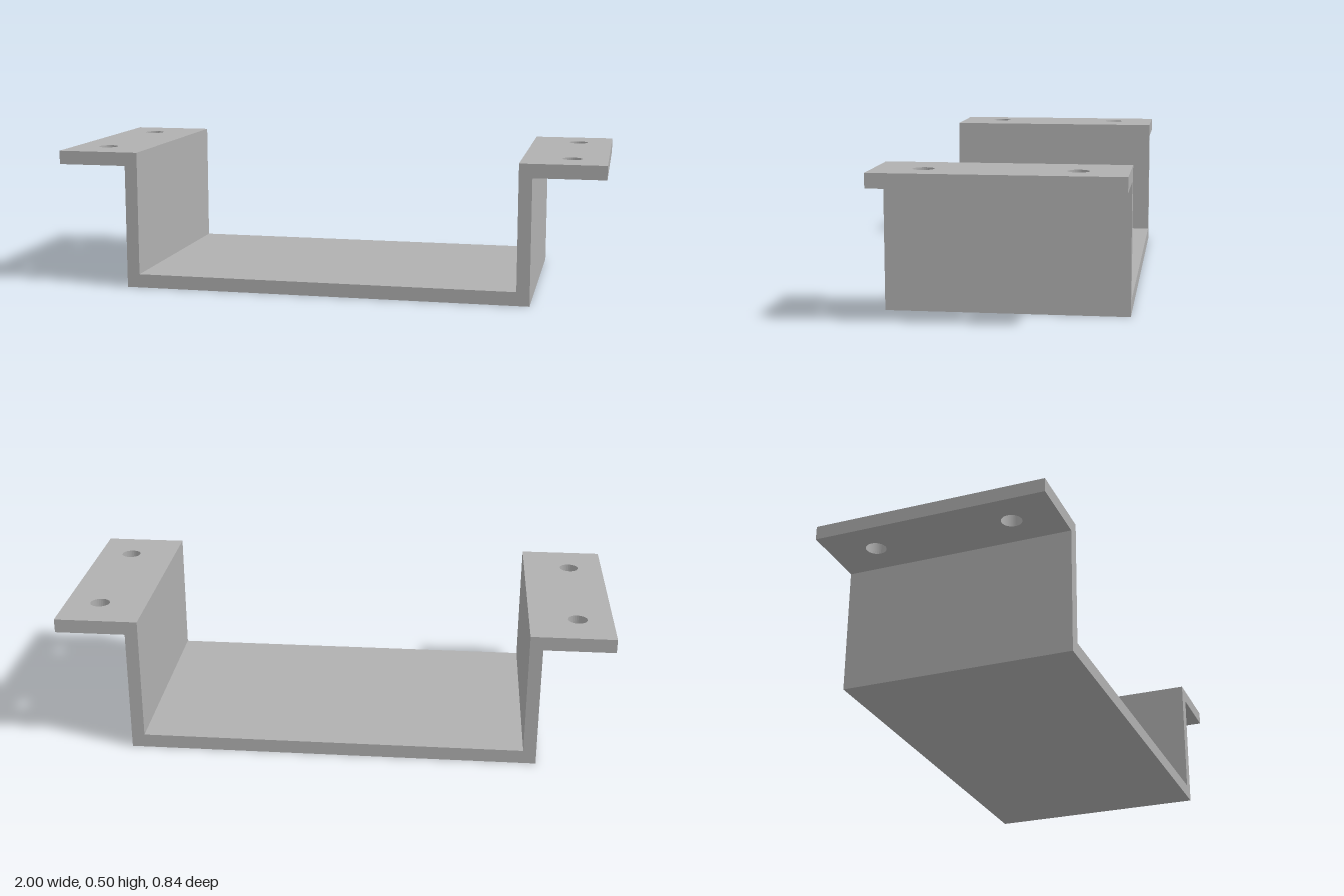
import * as THREE from 'three';

const OUTER = 0.745, INNER = 0.698;   // channel wall faces
const HEIGHT = 0.505, THICK = 0.05;
const DEPTH = 0.836;

export function createModel() {
  const bracket = new THREE.Group();
  bracket.name = 'mountingBracket';
  const metal = new THREE.MeshStandardMaterial({ color: 0xb0b0b0 });
  metal.name = 'grey metal';

  // U-shaped channel: floor and two upright walls
  const profile = new THREE.Shape([
    [-OUTER, 0], [OUTER, 0], [OUTER, HEIGHT], [INNER, HEIGHT],
    [INNER, THICK], [-INNER, THICK], [-INNER, HEIGHT], [-OUTER, HEIGHT],
  ].map(([x, y]) => new THREE.Vector2(x, y)));
  const channelGeometry = new THREE.ExtrudeGeometry(profile, { depth: DEPTH, bevelEnabled: false });
  channelGeometry.translate(0, 0, -DEPTH / 2);
  const channel = new THREE.Mesh(channelGeometry, metal);
  channel.name = 'channel';
  bracket.add(channel);

  // Outward flanges, each with two screw holes
  for (const side of [-1, 1]) {
    const x0 = Math.min(side * OUTER, side), x1 = Math.max(side * OUTER, side);
    const plate = new THREE.Shape([
      new THREE.Vector2(x0, -DEPTH / 2), new THREE.Vector2(x1, -DEPTH / 2),
      new THREE.Vector2(x1, DEPTH / 2), new THREE.Vector2(x0, DEPTH / 2),
    ]);
    for (const z of [-0.252, 0.252]) {
      plate.holes.push(new THREE.Path().absarc(side * 0.873, z, 0.036, 0, Math.PI * 2, true));
    }
    const geometry = new THREE.ExtrudeGeometry(plate, { depth: THICK, bevelEnabled: false, curveSegments: 16 });
    geometry.rotateX(-Math.PI / 2);
    geometry.translate(0, HEIGHT - THICK, 0);
    const flange = new THREE.Mesh(geometry, metal);
    flange.name = side > 0 ? 'leftFlange' : 'rightFlange';
    bracket.add(flange);
  }
  return bracket;
}
